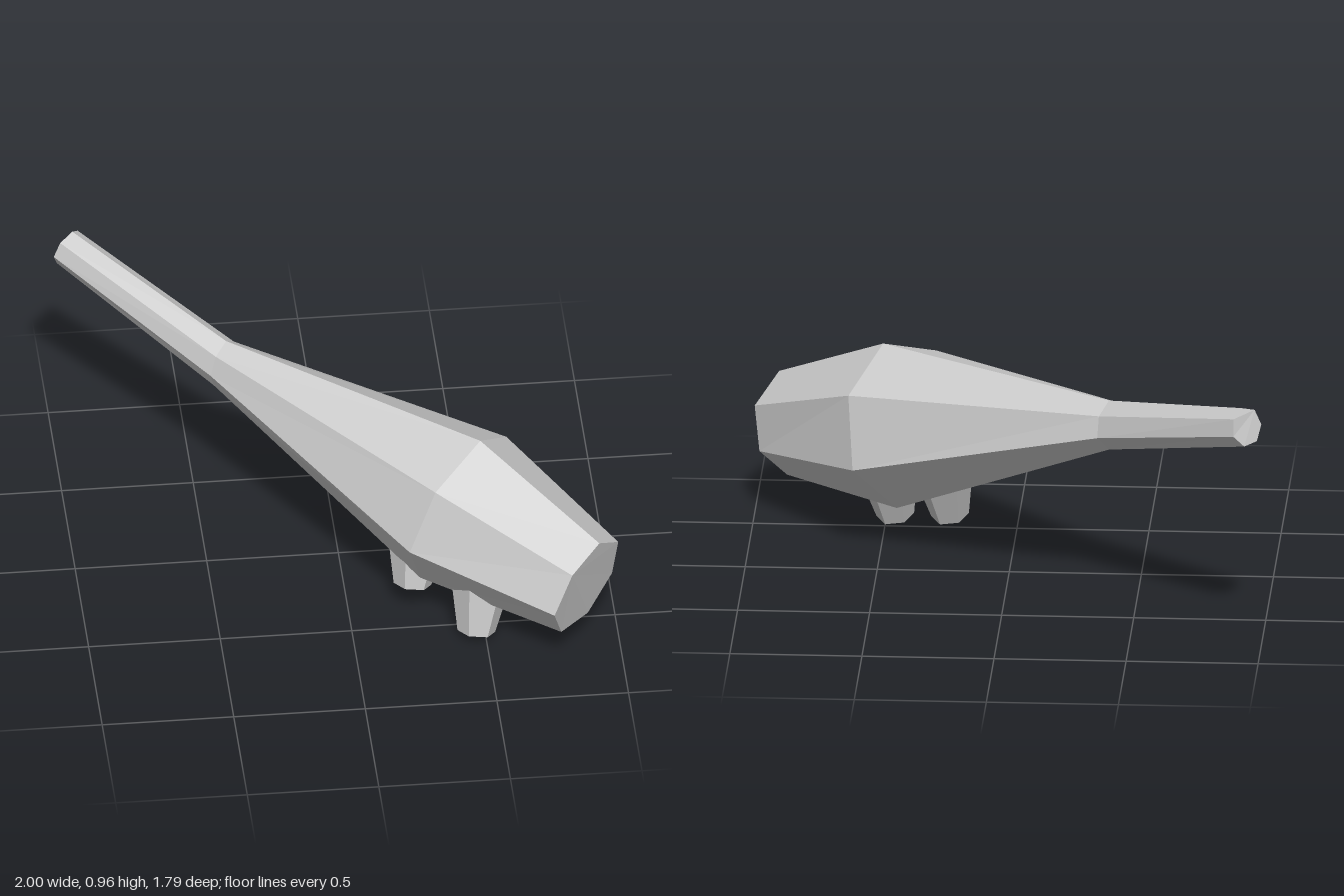
import * as THREE from 'three';

const grey = new THREE.MeshStandardMaterial({ color: 0xcccccc });
grey.name = 'light grey';

// Seven-sided cross-sections along the body, from the thin tip to the blunt end
const RINGS = [
  [[-0.975, 0.945, -0.795], [-0.925, 0.965, -0.835], [-0.9, 0.935, -0.88], [-0.9, 0.87, -0.895],
    [-0.94, 0.825, -0.875], [-0.985, 0.83, -0.825], [-1, 0.885, -0.79]],
  [[-0.44, 0.77, -0.25], [-0.395, 0.8, -0.305], [-0.36, 0.755, -0.36], [-0.355, 0.675, -0.382],
    [-0.398, 0.615, -0.337], [-0.447, 0.625, -0.268], [-0.46, 0.69, -0.237]],
  [[0.31, 0.68, 0.575], [0.5, 0.77, 0.385], [0.62, 0.63, 0.18], [0.6, 0.355, 0.11],
    [0.44, 0.165, 0.235], [0.265, 0.193, 0.45], [0.21, 0.425, 0.6]],
  [[0.8, 0.47, 0.87], [0.915, 0.525, 0.75], [1, 0.43, 0.62], [0.98, 0.26, 0.585],
    [0.88, 0.14, 0.665], [0.765, 0.157, 0.8], [0.73, 0.305, 0.895]],
];

// Joins the rings with flat facets and closes both ends
function loft(rings) {
  const n = rings[0].length;
  const pos = [];
  const tri = (a, b, c) => pos.push(...a, ...b, ...c);
  for (let r = 0; r < rings.length - 1; r++) {
    const p = rings[r], q = rings[r + 1];
    for (let i = 0; i < n; i++) {
      const j = (i + 1) % n;
      tri(p[i], q[i], q[j]);
      tri(p[i], q[j], p[j]);
    }
  }
  const tip = rings[0], end = rings[rings.length - 1];
  for (let i = 1; i < n - 1; i++) {
    tri(tip[0], tip[i], tip[i + 1]);
    tri(end[0], end[i + 1], end[i]);
  }
  const geo = new THREE.BufferGeometry();
  geo.setAttribute('position', new THREE.Float32BufferAttribute(pos, 3));
  geo.computeVertexNormals();
  return geo;
}

// Tapered six-sided peg, leaning with the body
function makePeg(name, x, y, z) {
  const h = 0.2;
  const geo = new THREE.CylinderGeometry(0.115, 0.072, h, 6, 1, false, Math.PI / 2)
    .translate(0, h / 2, 0).toNonIndexed();
  geo.computeVertexNormals();
  const peg = new THREE.Mesh(geo, grey);
  peg.name = name;
  peg.position.set(x, y, z);
  const lean = new THREE.Vector3(0.13, 1, -0.27).normalize();
  peg.quaternion.setFromUnitVectors(new THREE.Vector3(0, 1, 0), lean);
  return peg;
}

export function createModel() {
  const model = new THREE.Group();
  model.name = 'taperedBodyOnPegs';
  const body = new THREE.Mesh(loft(RINGS), grey);
  body.name = 'body';
  model.add(body);
  model.add(makePeg('frontPeg', 0.465, 0.021, 0.577));
  model.add(makePeg('backPeg', 0.245, 0.1, 0.36));
  return model;
}
